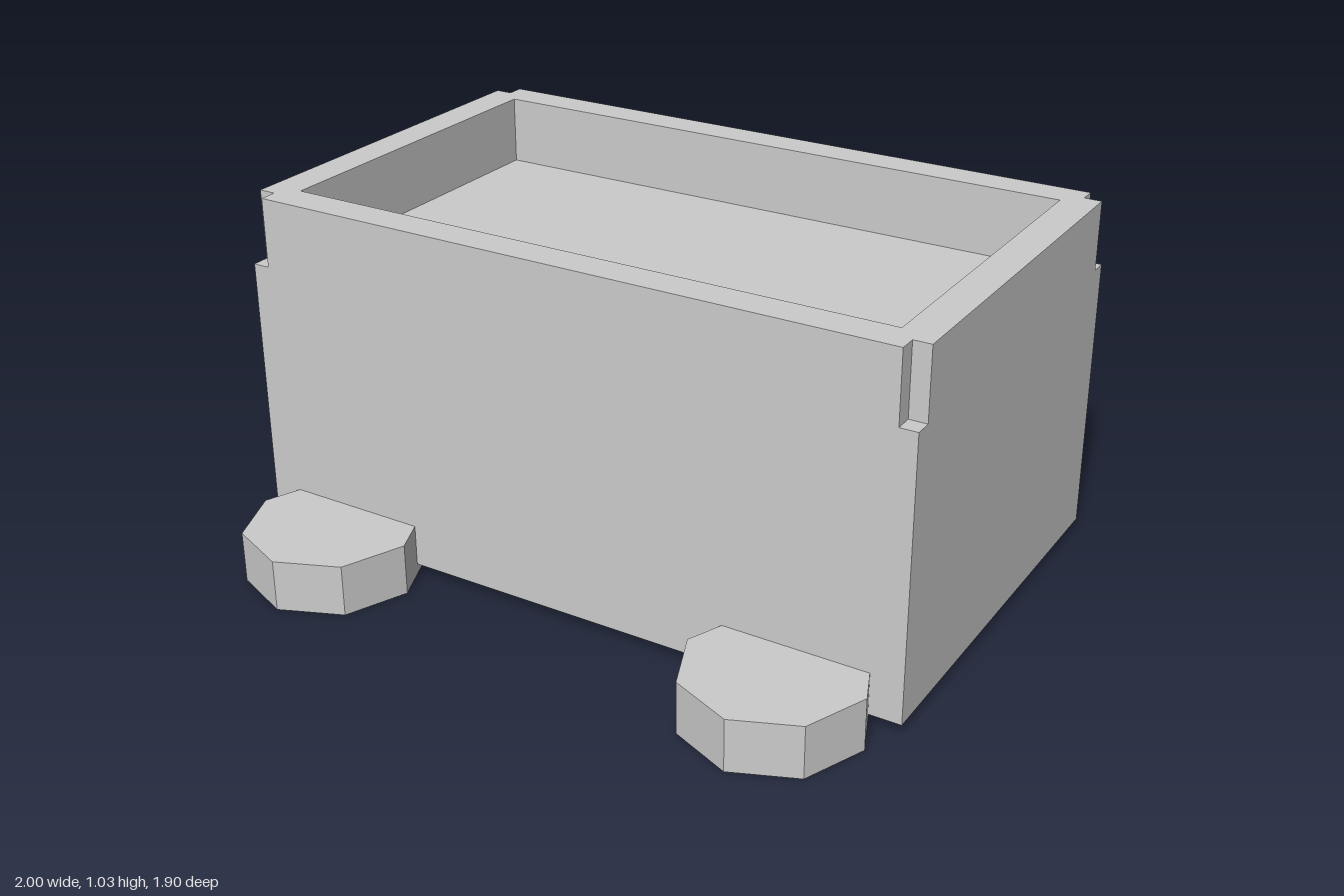
import * as THREE from 'three';

const material = new THREE.MeshStandardMaterial({ color: 0xcccccc, flatShading: true });

function addPart(group, name, geometry, x, y, z) {
  const mesh = new THREE.Mesh(geometry, material);
  mesh.name = name;
  mesh.position.set(x, y, z);
  group.add(mesh);
}

// Rectangle with a square notch cut from each corner
function notchedRectangle(w, d, n) {
  return new THREE.Shape([
    [-w + n, -d], [w - n, -d], [w - n, -d + n], [w, -d + n],
    [w, d - n], [w - n, d - n], [w - n, d], [-w + n, d],
    [-w + n, d - n], [-w, d - n], [-w, -d + n], [-w + n, -d + n],
  ].map(([x, y]) => new THREE.Vector2(x, y)));
}

export function createModel() {
  const group = new THREE.Group();
  group.name = 'cart';

  // Solid lower body, its top is the tray floor
  addPart(group, 'body', new THREE.BoxGeometry(2, 0.8, 1.2), 0, 0.43, 0);

  // Raised rim around the tray, notched at the corners
  const outline = notchedRectangle(1, 0.6, 0.05);
  outline.holes.push(new THREE.Path([
    new THREE.Vector2(-0.9, -0.5), new THREE.Vector2(-0.9, 0.5),
    new THREE.Vector2(0.9, 0.5), new THREE.Vector2(0.9, -0.5),
  ]));
  const rim = new THREE.ExtrudeGeometry(outline, { depth: 0.2, bevelEnabled: false });
  rim.rotateX(-Math.PI / 2);
  addPart(group, 'rim', rim, 0, 0.83, 0);

  // Four octagonal wheels lying flat, partly under the body
  const wheel = new THREE.CylinderGeometry(0.25, 0.25, 0.15, 8);
  for (const [endName, z] of [['front', 0.7], ['back', -0.7]]) {
    for (const [sideName, x] of [['Left', 0.7], ['Right', -0.7]]) {
      addPart(group, `${endName}${sideName}Wheel`, wheel, x, 0.075, z);
    }
  }
  return group;
}
